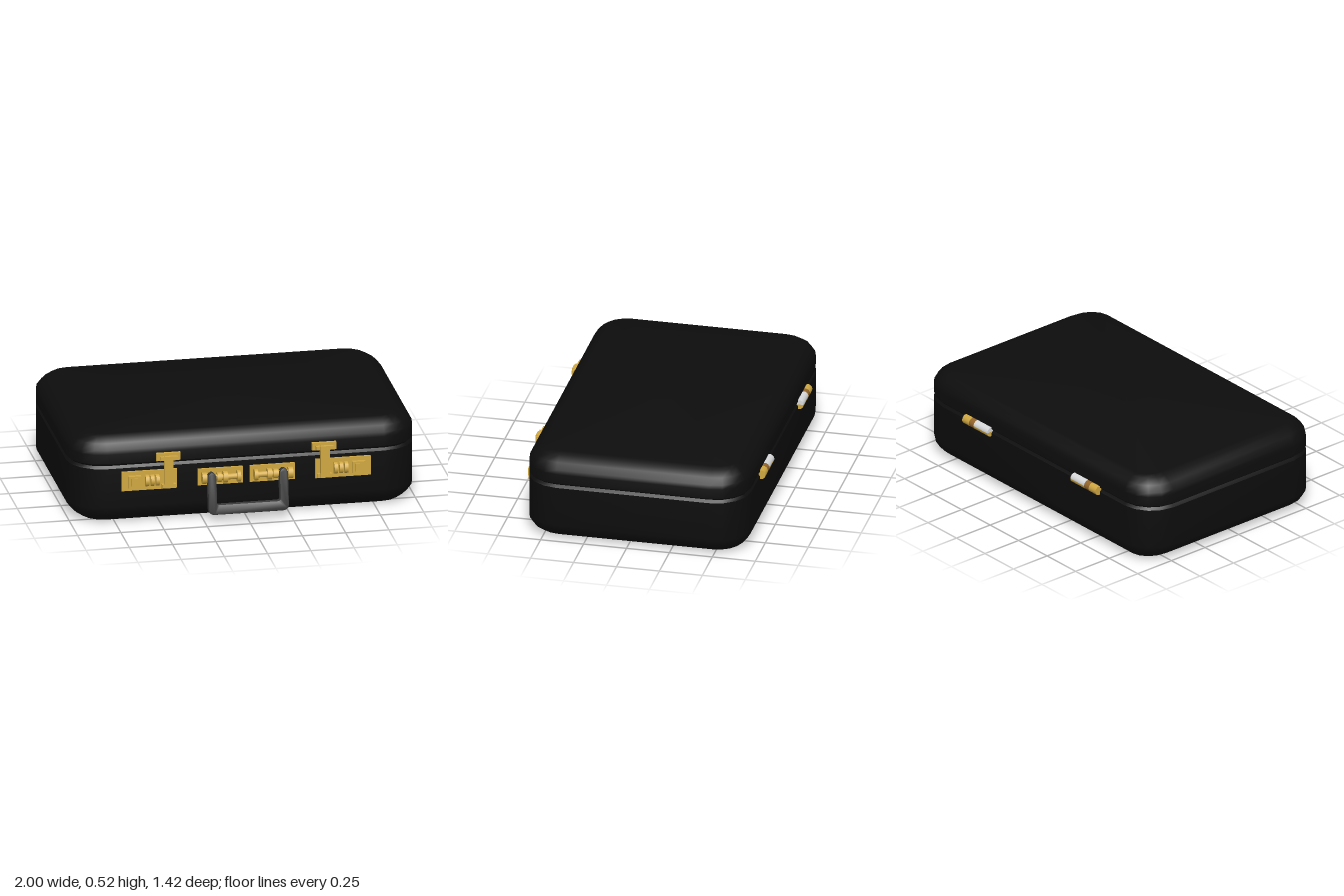
import * as THREE from 'three';
import { toCreasedNormals } from 'three/addons/utils/BufferGeometryUtils.js';

const mat = (name, color) => {
  const m = new THREE.MeshStandardMaterial({ color });
  m.name = name;
  return m;
};

// Closed shell lofted from rounded-rectangle loops; levels are [y, inset].
function shellGeometry(levels) {
  const halfX = 1, front = 0.61, back = -0.68, radius = 0.2, steps = 4;
  const corners = [[1, front], [-1, front], [-1, back], [1, back]];
  const loops = levels.map(([y, inset]) => {
    const rx = radius - inset * 1.3, rz = radius - inset;
    const loop = [];
    corners.forEach(([sx, z], c) => {
      const cx = sx * (halfX - radius), cz = z - Math.sign(z) * radius;
      for (let i = 0; i <= steps; i++) {
        const a = (c + i / steps) * Math.PI / 2;
        loop.push([cx + rx * Math.cos(a), y, cz + rz * Math.sin(a)]);
      }
    });
    return loop;
  });
  const n = loops[0].length, pos = [];
  const tri = (...p) => p.forEach(v => pos.push(...v));
  for (let k = 0; k < loops.length - 1; k++) {
    const a = loops[k], b = loops[k + 1];
    for (let i = 0; i < n; i++) {
      const j = (i + 1) % n;
      tri(a[i], b[i], a[j]);
      tri(a[j], b[i], b[j]);
    }
  }
  const low = loops[0], high = loops[loops.length - 1];
  for (let i = 0; i < n; i++) {
    const j = (i + 1) % n;
    tri([0, low[0][1], 0], low[i], low[j]);
    tri([0, high[0][1], 0], high[j], high[i]);
  }
  const g = new THREE.BufferGeometry();
  g.setAttribute('position', new THREE.Float32BufferAttribute(pos, 3));
  return toCreasedNormals(g, 0.6);
}

export function createModel() {
  const leather = mat('black leather', 0x0d0d0d);
  const gold = mat('gold metal', 0xd0a842);
  const bronze = mat('bronze metal', 0x94652c);
  const silver = mat('silver metal', 0xd6d8da);
  const grip = mat('dark grey grip', 0x3a3a3a);

  const model = new THREE.Group();
  model.name = 'briefcase';
  const add = (parent, name, geometry, material) => {
    const m = new THREE.Mesh(geometry, material);
    m.name = name;
    parent.add(m);
    return m;
  };
  // Box given by its limits
  const box = (parent, name, x0, x1, y0, y1, z0, z1, material = gold) =>
    add(parent, name, new THREE.BoxGeometry(x1 - x0, y1 - y0, z1 - z0), material)
      .position.set((x0 + x1) / 2, (y0 + y1) / 2, (z0 + z1) / 2);
  // Cylinder along x
  const rod = (parent, name, x0, x1, y, z, r, material = gold, start = 0, sweep = Math.PI * 2) => {
    const g = new THREE.CylinderGeometry(r, r, x1 - x0, 16, 1, false, start, sweep);
    g.rotateZ(Math.PI / 2);
    add(parent, name, g, material).position.set((x0 + x1) / 2, y, z);
  };

  // Case with a groove between tray and lid
  add(model, 'caseBody', shellGeometry([
    [0, 0.085], [0.01, 0.06], [0.04, 0.025], [0.075, 0.004], [0.1, 0],
    [0.335, 0], [0.345, 0.008], [0.35, 0.012], [0.355, 0.008], [0.363, 0],
    [0.42, 0], [0.445, 0.004], [0.48, 0.025], [0.508, 0.06], [0.518, 0.085],
  ]), leather);

  for (const side of [1, -1]) {
    const label = side > 0 ? 'left' : 'right';

    // Combination latch
    const latch = new THREE.Group();
    latch.name = label + 'Latch';
    model.add(latch);
    const s = (name, a, b, ...rest) =>
      box(latch, name, Math.min(a * side, b * side), Math.max(a * side, b * side), ...rest);
    s('latchPlate', 0.4, 0.72, 0.2, 0.315, 0.6, 0.622);
    s('latchButton', 0.61, 0.685, 0.222, 0.292, 0.62, 0.645);
    s('buttonInset', 0.625, 0.67, 0.235, 0.28, 0.645, 0.649);
    for (const x of [0.515, 0.545, 0.575])
      rod(latch, 'dial', side * x - 0.01, side * x + 0.01, 0.257, 0.622, 0.034);
    s('latchSlider', 0.41, 0.49, 0.208, 0.232, 0.62, 0.645);
    s('latchStrap', 0.425, 0.478, 0.21, 0.4, 0.632, 0.65);
    s('catchPlate', 0.38, 0.52, 0.37, 0.415, 0.6, 0.628);
    s('catchHook', 0.4, 0.5, 0.375, 0.398, 0.625, 0.645);

    // Handle bracket
    const mount = new THREE.Group();
    mount.name = label + 'HandleMount';
    model.add(mount);
    const m = (name, a, b, r) =>
      rod(mount, name, Math.min(a * side, b * side), Math.max(a * side, b * side), 0.257, 0.648, r);
    box(mount, 'mountPlate', Math.min(0.02 * side, 0.28 * side), Math.max(0.02 * side, 0.28 * side),
      0.205, 0.303, 0.6, 0.622);
    m('mountPin', 0.04, 0.26, 0.017);
    for (const [a, b, r] of [[0.04, 0.06, 0.033], [0.115, 0.14, 0.033], [0.15, 0.175, 0.028], [0.235, 0.262, 0.033]])
      m('mountKnuckle', a, b, r);

    // Rear hinge: silver leaf above, gold below, gold outer end
    const hinge = new THREE.Group();
    hinge.name = label + 'Hinge';
    model.add(hinge);
    const h = (name, a, b, ...rest) =>
      rod(hinge, name, Math.min(a * side, b * side), Math.max(a * side, b * side), 0.345, -0.685, 0.028, ...rest);
    h('hingeUpperLeaf', 0.365, 0.485, silver, 0, Math.PI);
    h('hingeLowerLeaf', 0.365, 0.485, gold, Math.PI, Math.PI);
    h('hingeCollar', 0.485, 0.525, bronze);
    h('hingeEnd', 0.525, 0.585, gold);
  }

  // Carrying handle: rounded U, hanging slightly forward from the pins
  const u = new THREE.Shape();
  u.moveTo(-0.226, 0.01);
  u.lineTo(-0.226, -0.175);
  u.quadraticCurveTo(-0.226, -0.206, -0.195, -0.206);
  u.lineTo(0.195, -0.206);
  u.quadraticCurveTo(0.226, -0.206, 0.226, -0.175);
  u.lineTo(0.226, 0.01);
  u.quadraticCurveTo(0.207, 0.045, 0.188, 0.01);
  u.lineTo(0.188, -0.14);
  u.quadraticCurveTo(0.188, -0.16, 0.168, -0.16);
  u.lineTo(-0.168, -0.16);
  u.quadraticCurveTo(-0.188, -0.16, -0.188, -0.14);
  u.lineTo(-0.188, 0.01);
  u.quadraticCurveTo(-0.207, 0.045, -0.226, 0.01);
  const handleGeometry = new THREE.ExtrudeGeometry(u, {
    depth: 0.034, bevelEnabled: true, bevelThickness: 0.008, bevelSize: 0.006,
    bevelSegments: 2, curveSegments: 5,
  });
  handleGeometry.translate(0, 0, -0.017);
  const handle = add(model, 'handle', toCreasedNormals(handleGeometry, 0.7), grip);
  handle.position.set(0, 0.257, 0.655);
  handle.rotation.x = -0.14;

  return model;
}
